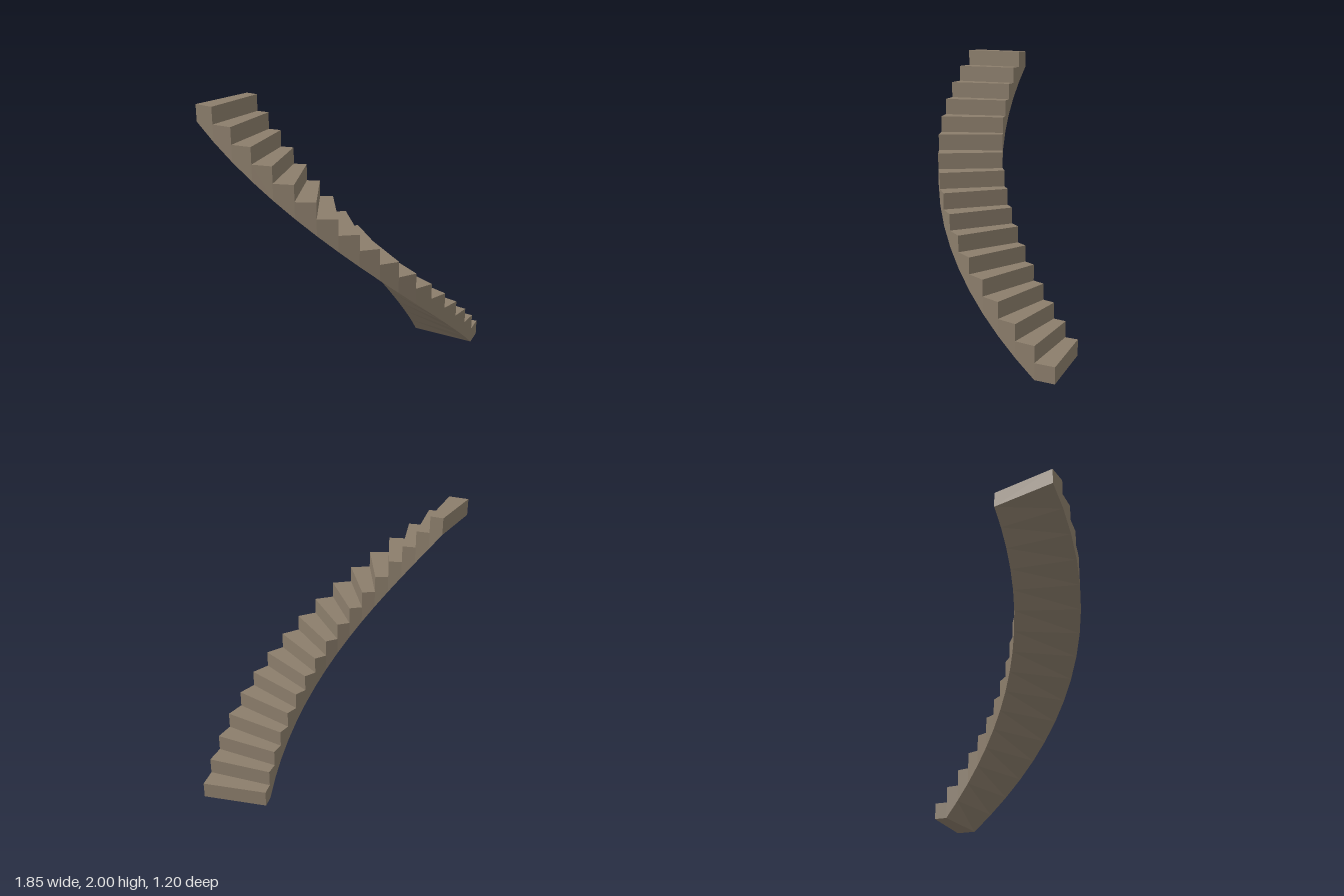
import * as THREE from 'three';

const STEPS = 17, RISE = 2 / STEPS;
const INNER = 0.845, OUTER = 1.32;
const CX = -0.385, CZ = -0.72;
const START = THREE.MathUtils.degToRad(8.2);
const TURN = THREE.MathUtils.degToRad(105.9) / STEPS;

// Point on the spiral: radius, step line index, height
const point = (r, i, y) => {
  const a = START + TURN * i;
  return [CX + r * Math.cos(a), y, CZ + r * Math.sin(a)];
};
// Sloping soffit, flat under the first step
const soffit = (i) => Math.max(0, i - 1) * RISE;

function quadMesh(name, quads, material) {
  const positions = quads.flatMap(([a, b, c, d]) => [a, b, c, a, c, d].flat());
  const geometry = new THREE.BufferGeometry();
  geometry.setAttribute('position', new THREE.Float32BufferAttribute(positions, 3));
  geometry.computeVertexNormals();
  const mesh = new THREE.Mesh(geometry, material);
  mesh.name = name;
  return mesh;
}

export function createModel() {
  const group = new THREE.Group();
  group.name = 'curvedStaircase';
  const material = new THREE.MeshStandardMaterial({ color: 0x8b7d6b, flatShading: true });
  const treads = [], risers = [], outerSide = [], innerSide = [], underside = [];

  for (let i = 0; i < STEPS; i++) {
    const j = i + 1, top = j * RISE, low = soffit(i), next = soffit(j);
    treads.push([point(OUTER, i, top), point(INNER, i, top), point(INNER, j, top), point(OUTER, j, top)]);
    risers.push([point(OUTER, i, i * RISE), point(INNER, i, i * RISE), point(INNER, i, top), point(OUTER, i, top)]);
    // Stringer faces between the soffit and the tread
    outerSide.push([point(OUTER, i, low), point(OUTER, i, top), point(OUTER, j, top), point(OUTER, j, next)]);
    innerSide.push([point(INNER, i, low), point(INNER, j, next), point(INNER, j, top), point(INNER, i, top)]);
    underside.push([point(OUTER, i, low), point(OUTER, j, next), point(INNER, j, next), point(INNER, i, low)]);
  }

  // Vertical face closing the upper end
  const n = STEPS, base = soffit(n);
  const endFace = [[point(INNER, n, base), point(OUTER, n, base), point(OUTER, n, 2), point(INNER, n, 2)]];

  const parts = { treads, risers, outerSide, innerSide, underside, endFace };
  for (const [name, quads] of Object.entries(parts)) group.add(quadMesh(name, quads, material));
  return group;
}
